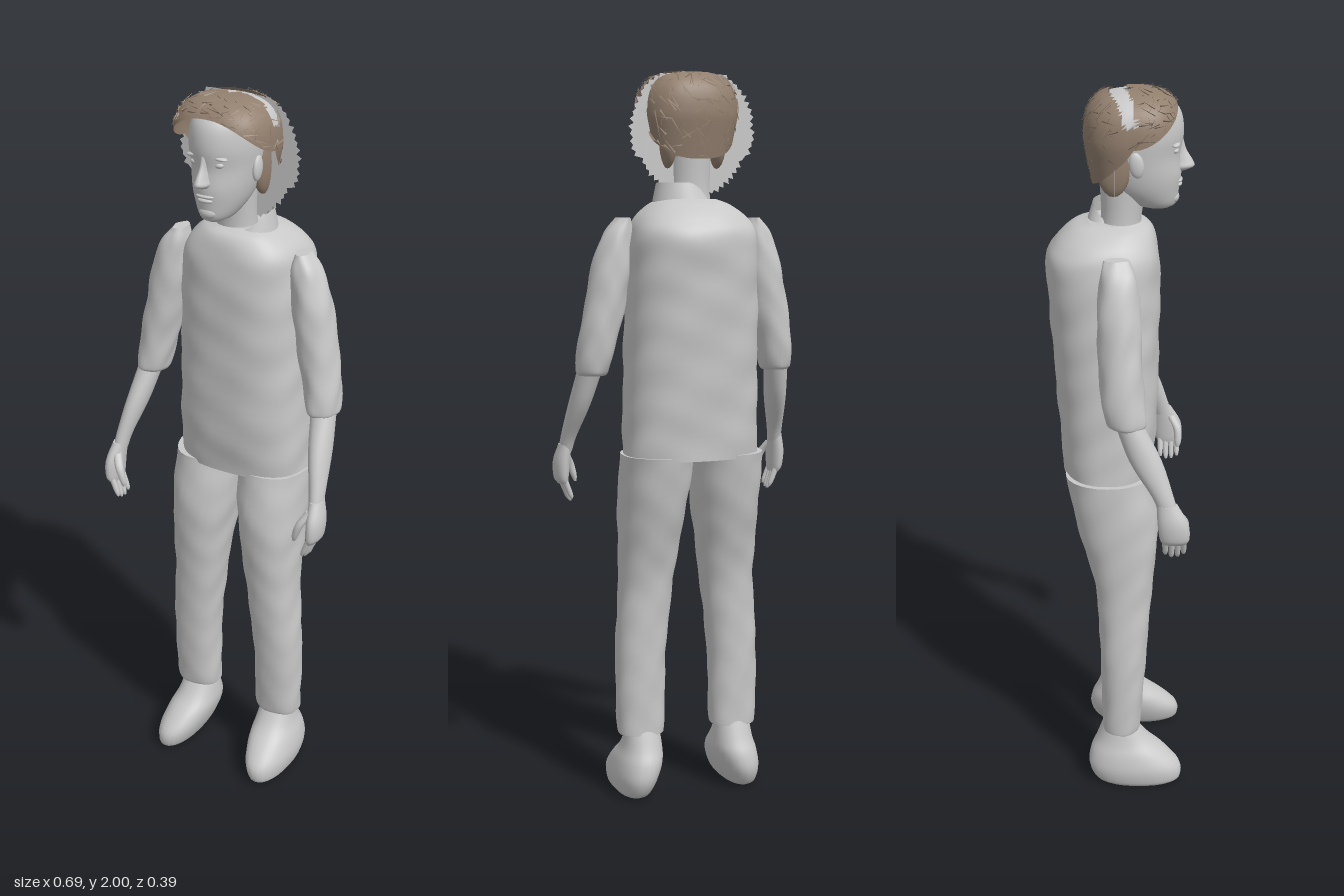
import * as THREE from 'three';

const grey = new THREE.MeshStandardMaterial({ color: 0xc8c8c8 });
const greyThin = new THREE.MeshStandardMaterial({ color: 0xc8c8c8, side: THREE.DoubleSide });
const hairBrown = new THREE.MeshStandardMaterial({ color: 0x93806f, side: THREE.DoubleSide });
grey.name = 'plain grey';
greyThin.name = 'plain grey thin';
hairBrown.name = 'hair brown';

let seed = 7;
const rand = () => (seed = (seed * 16807) % 2147483647) / 2147483647;
const sPow = (v, e) => Math.sign(v) * Math.abs(v) ** e;

function add(parent, name, geometry, material = grey) {
  const mesh = new THREE.Mesh(geometry, material);
  mesh.name = name;
  parent.add(mesh);
  return mesh;
}

function indexed(positions, index) {
  const g = new THREE.BufferGeometry();
  g.setAttribute('position', new THREE.Float32BufferAttribute(positions, 3));
  g.setIndex(index);
  g.computeVertexNormals();
  return g;
}

// Smooth loft through rising sections [centreX, y, zFront, zBack, halfWidth]
function loft(sections, { seg = 28, sub = 4, n = 2, wrinkle = 0 } = {}) {
  const mids = new THREE.CatmullRomCurve3(
    sections.map(([x, y, f, b]) => new THREE.Vector3(x, y, (f + b) / 2)), false, 'catmullrom');
  const sizes = new THREE.CatmullRomCurve3(
    sections.map(([, , f, b, w]) => new THREE.Vector3(w, 0, (f - b) / 2)), false, 'catmullrom');
  const rows = (sections.length - 1) * sub;
  const pos = [], idx = [];
  for (let i = 0; i <= rows; i++) {
    const c = mids.getPoint(i / rows), r = sizes.getPoint(i / rows);
    for (let j = 0; j < seg; j++) {
      const a = (j / seg) * Math.PI * 2;
      const k = wrinkle * (Math.sin(c.y * 55 + 3 * Math.sin(a * 2)) + Math.sin(a * 5 + c.y * 30));
      pos.push(c.x + (r.x + k) * sPow(Math.cos(a), 2 / n), c.y, c.z + (r.z + k) * sPow(Math.sin(a), 2 / n));
    }
  }
  for (let i = 0; i < rows; i++) for (let j = 0; j < seg; j++) {
    const a = i * seg + j, b = i * seg + (j + 1) % seg;
    idx.push(a, a + seg, b, b, a + seg, b + seg);
  }
  // flat end caps with their own corners
  for (const [row, up] of [[0, false], [rows, true]]) {
    const start = pos.length / 3;
    const c = mids.getPoint(row / rows);
    for (let j = 0; j < seg; j++) pos.push(...pos.slice((row * seg + j) * 3, (row * seg + j) * 3 + 3));
    pos.push(c.x, c.y, c.z);
    for (let j = 0; j < seg; j++) {
      const a = start + j, b = start + (j + 1) % seg;
      idx.push(start + seg, up ? b : a, up ? a : b);
    }
  }
  return indexed(pos, idx);
}

function blob(parent, name, x, y, z, sx, sy, sz) {
  const m = add(parent, name, new THREE.SphereGeometry(1, 16, 12));
  m.position.set(x, y, z);
  m.scale.set(sx, sy, sz);
  return m;
}

// Point on the hair shell at azimuth a (0 = left, 90 degrees = front), v from hairline to crown
function hairPoint(a, v, scale = 1) {
  const s = Math.sin(a);
  const low = s > 0 ? 1.87 + 0.085 * s ** 1.5 : 1.87 - 0.11 * (-s) ** 0.6;
  const y = low + (1.995 - low) * Math.sin(v * Math.PI / 2);
  const t = Math.max(0, (y - 1.87) / 0.125);
  const r = scale * (y < 1.87 ? 1 - (1.87 - y) * 1.5 : Math.cbrt(Math.max(0, 1 - t ** 3)));
  return new THREE.Vector3(-0.01 + 0.133 * r * sPow(Math.cos(a), 0.8), y - (1 - scale) * 0.15,
    0.037 + 0.126 * r * sPow(s, 0.8));
}

// The crown has a bare curved strip from side to side
const inGap = (p) => p.y > 1.925 && p.z > -0.025 + 2 * p.x * p.x && p.z < 0.02 + 1.3 * p.x * p.x;

function hairShell(scale, keepGap) {
  const seg = 72, rows = 22, pos = [], idx = [], pts = [];
  for (let i = 0; i <= rows; i++) for (let j = 0; j < seg; j++) {
    const p = hairPoint((j / seg) * Math.PI * 2, i / rows, scale);
    pts.push(p);
    pos.push(p.x, p.y, p.z);
  }
  const tri = (a, b, c) => {
    const mid = pts[a].clone().add(pts[b]).add(pts[c]).divideScalar(3);
    if (inGap(mid) === keepGap) idx.push(a, b, c);
  };
  for (let i = 0; i < rows; i++) for (let j = 0; j < seg; j++) {
    const a = i * seg + j, b = i * seg + (j + 1) % seg;
    tri(a, a + seg, b);
    tri(b, a + seg, b + seg);
  }
  return indexed(pos, idx);
}

function buildHead(model) {
  const head = new THREE.Group();
  head.name = 'head';
  model.add(head);
  const X = -0.008;
  add(head, 'neck', loft([[X, 1.6, 0.06, -0.06, 0.06], [X, 1.67, 0.06, -0.045, 0.055], [X, 1.78, 0.08, -0.05, 0.058]]));
  add(head, 'skull', loft([
    [X, 1.69, 0.13, 0.07, 0.02], [X, 1.703, 0.148, 0.03, 0.042], [X, 1.74, 0.155, -0.025, 0.064],
    [X, 1.78, 0.16, -0.055, 0.076], [X, 1.83, 0.157, -0.076, 0.084], [X, 1.88, 0.165, -0.08, 0.088],
    [X, 1.93, 0.16, -0.07, 0.083], [X, 1.96, 0.14, -0.045, 0.068], [X, 1.98, 0.1, 0, 0.04],
    [X, 1.986, 0.06, 0.045, 0.006]], { seg: 36 }));
  // face
  add(head, 'nose', loft([[X, 1.787, 0.172, 0.13, 0.012], [X, 1.797, 0.193, 0.13, 0.018],
    [X, 1.812, 0.189, 0.13, 0.014], [X, 1.84, 0.172, 0.13, 0.009], [X, 1.87, 0.163, 0.13, 0.011]], { seg: 16 }));
  blob(head, 'upperLip', X, 1.763, 0.151, 0.027, 0.006, 0.013);
  blob(head, 'lowerLip', X, 1.752, 0.15, 0.023, 0.007, 0.013);
  blob(head, 'chin', X, 1.718, 0.138, 0.026, 0.018, 0.018);
  for (const s of [-1, 1]) {
    blob(head, 'eye', X + s * 0.033, 1.845, 0.142, 0.015, 0.008, 0.01);
    blob(head, 'brow', X + s * 0.035, 1.863, 0.142, 0.024, 0.006, 0.013).rotation.z = -s * 0.12;
    blob(head, 'ear', X + s * 0.086, 1.82, 0.045, 0.01, 0.033, 0.019).rotation.x = -0.15;
  }
  // hair cap, bare strip and loose strands
  add(head, 'hair', hairShell(1, false), hairBrown);
  add(head, 'scalpStrip', hairShell(0.96, true), greyThin);
  const strands = [], order = [];
  for (let i = 0; i < 260; i++) {
    const a = rand() * Math.PI * 2, v = rand() * 0.8;
    const p = hairPoint(a, v, 1.02), q = hairPoint(a + (rand() - 0.5) * 0.7, Math.max(0, v + (rand() - 0.6) * 0.5), 1.04);
    if (inGap(p) || inGap(q)) continue;
    const k = strands.length / 3;
    strands.push(p.x, p.y, p.z, p.x + 0.003, p.y - 0.004, p.z, q.x, Math.min(q.y, 2), q.z);
    order.push(k, k + 1, k + 2);
  }
  add(head, 'hairStrands', indexed(strands, order), hairBrown);
  // hair at nape and sideburns
  for (const s of [-1, 1]) blob(head, 'sideHair', X + s * 0.07, 1.82, -0.012, 0.024, 0.085, 0.045).material = hairBrown;

  // ragged flat sheet behind the face
  const outline = [];
  for (let i = 0; i < 110; i++) {
    const a = (i / 110) * Math.PI * 2, r = (i % 2 ? 1 : 0.95) - rand() * 0.04;
    const w = Math.sin(a) < -0.4 ? 0.165 : 0.182;
    outline.push(new THREE.Vector2(-0.01 + w * r * sPow(Math.cos(a), 0.9), Math.min(1.985, 1.835 + 0.178 * r * Math.sin(a))));
  }
  add(head, 'backSheet', new THREE.ShapeGeometry(new THREE.Shape(outline)), greyThin).position.z = -0.01;
}

function buildTorso(model) {
  const X = 0.004;
  add(model, 'shirt', loft([
    [X, 0.96, 0.09, -0.15, 0.187], [X, 1.1, 0.105, -0.16, 0.184], [X, 1.3, 0.108, -0.174, 0.18],
    [X, 1.45, 0.11, -0.184, 0.176], [X, 1.55, 0.108, -0.19, 0.17], [X, 1.6, 0.1, -0.165, 0.153],
    [X, 1.638, 0.085, -0.125, 0.112], [X, 1.655, 0.06, -0.08, 0.075]],
    { seg: 48, sub: 8, n: 2.5, wrinkle: 0.0012 }));
  // standing collar, higher at the back and on the left
  const collar = new THREE.CylinderGeometry(0.068, 0.095, 0.08, 32, 4, true);
  const p = collar.attributes.position;
  for (let i = 0; i < p.count; i++) {
    const x = p.getX(i), z = p.getZ(i), t = p.getY(i) / 0.08 + 0.5;
    const top = 1.672 + 0.026 * Math.max(-1, Math.min(1, (x - z) / 0.06));
    p.setXYZ(i, x + 0.01 + 0.012 * t, 1.62 + (top - 1.62) * t, z * 0.9 - 0.005);
  }
  collar.computeVertexNormals();
  add(model, 'collar', collar, greyThin);
}

function buildLimbs(model, s) {
  const side = s > 0 ? 'left' : 'right';
  const put = (name, list, opts) => add(model, side + name, loft(list.map(([x, ...r]) => [s * x, ...r]), opts));
  // trouser leg and shoe
  put('TrouserLeg', [
    [0.137, 0.18, 0.055, -0.045, 0.062], [0.137, 0.2, 0.064, -0.045, 0.067], [0.136, 0.4, 0.078, -0.05, 0.07],
    [0.12, 0.6, 0.092, -0.06, 0.075], [0.113, 0.72, 0.103, -0.085, 0.083], [0.106, 0.84, 0.108, -0.118, 0.092],
    [0.1, 0.97, 0.085, -0.142, 0.098]], { sub: 8, n: 2.2, wrinkle: 0.001 });
  put('Shoe', [
    [0.16, 0, 0.16, -0.04, 0.038], [0.158, 0.015, 0.18, -0.065, 0.05], [0.152, 0.055, 0.178, -0.084, 0.062],
    [0.142, 0.1, 0.135, -0.08, 0.064], [0.136, 0.14, 0.085, -0.062, 0.056], [0.135, 0.2, 0.04, -0.04, 0.046]], { n: 2.2 });
  // sleeve, forearm and hand
  put('Sleeve', [
    [0.267, 1.185, 0.066, -0.02, 0.038], [0.267, 1.2, 0.072, -0.032, 0.045], [0.256, 1.27, 0.066, -0.046, 0.051],
    [0.234, 1.38, 0.06, -0.052, 0.055], [0.216, 1.48, 0.056, -0.054, 0.053], [0.2, 1.56, 0.046, -0.046, 0.04],
    [0.186, 1.605, 0.028, -0.036, 0.018]], { sub: 6, wrinkle: 0.0012 });
  put('Forearm', [
    [0.314, 0.965, 0.155, 0.105, 0.018], [0.308, 1.01, 0.142, 0.085, 0.021], [0.29, 1.1, 0.112, 0.028, 0.029],
    [0.272, 1.2, 0.06, -0.01, 0.034]]);
  put('Palm', [
    [0.318, 0.872, 0.178, 0.116, 0.012], [0.322, 0.89, 0.186, 0.108, 0.019], [0.322, 0.935, 0.182, 0.102, 0.022],
    [0.315, 0.985, 0.154, 0.1, 0.018]], { seg: 20 });
  for (let i = 0; i < 4; i++) {
    const z = 0.123 + i * 0.016, tip = 0.82 + Math.abs(i - 1.4) * 0.008;
    put('Finger', [[0.298, tip, z + 0.005, z - 0.003, 0.004], [0.303, tip + 0.014, z + 0.008, z - 0.007, 0.008],
      [0.318, 0.885, z + 0.009, z - 0.009, 0.009]], { seg: 10 });
  }
  put('Thumb', [[0.274, 0.872, 0.178, 0.168, 0.004], [0.278, 0.89, 0.184, 0.164, 0.009], [0.29, 0.925, 0.184, 0.16, 0.012],
    [0.31, 0.96, 0.165, 0.14, 0.012]], { seg: 12 });
}

export function createModel() {
  const model = new THREE.Group();
  model.name = 'standingMan';
  buildHead(model);
  buildTorso(model);
  for (const s of [-1, 1]) buildLimbs(model, s);
  return model;
}
